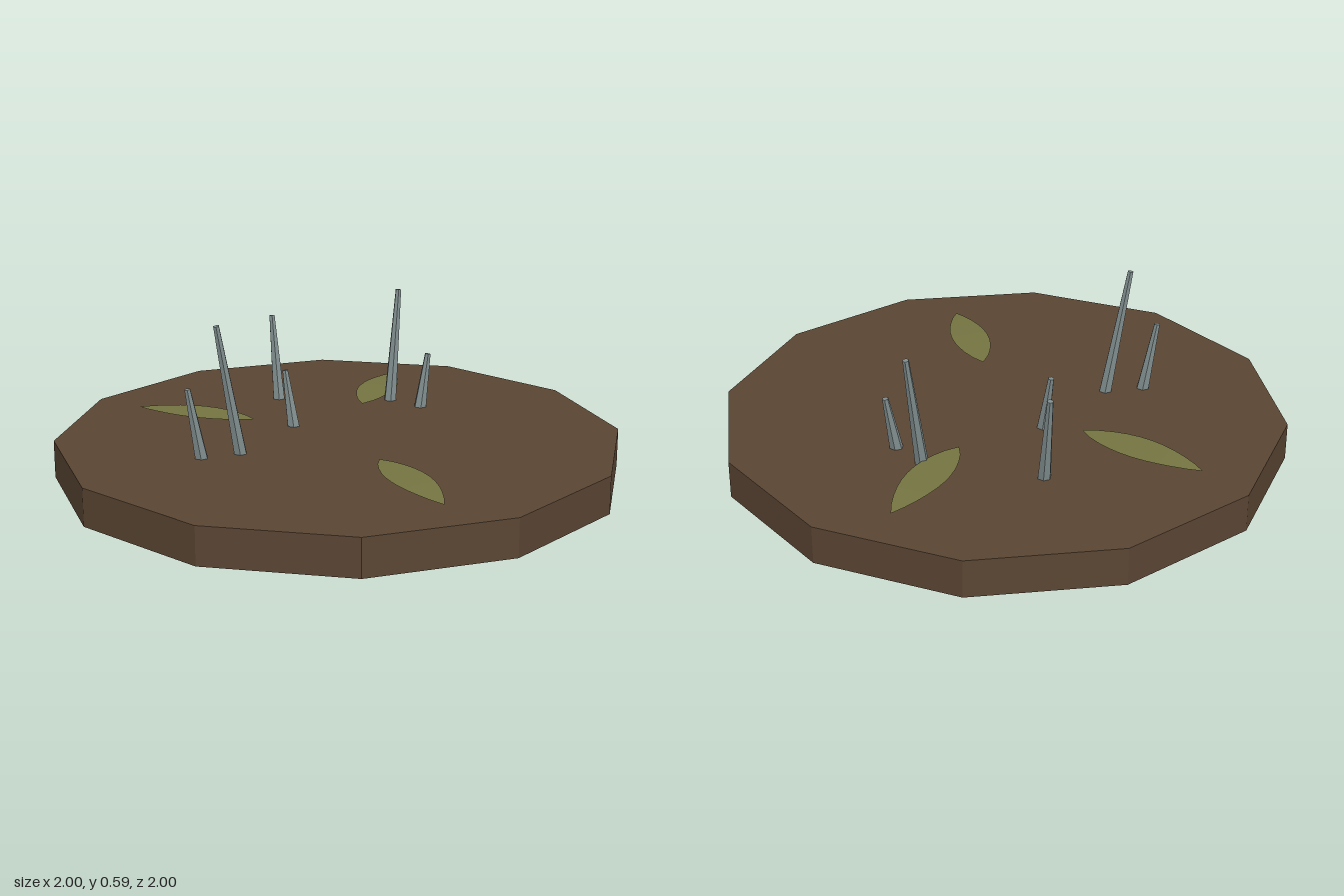
import * as THREE from 'three';

const soil = new THREE.MeshStandardMaterial({ color: 0x5a4533, flatShading: true });
soil.name = 'soilBrown';
const stalkGrey = new THREE.MeshStandardMaterial({ color: 0x7f8c8d, flatShading: true });
stalkGrey.name = 'stalkGrey';
const leafGreen = new THREE.MeshStandardMaterial({ color: 0x747442, side: THREE.DoubleSide });
leafGreen.name = 'leafGreen';

const TOP = 0.134;

// Tapered stalk leaning from its base to its tip
function makeStalk([bx, bz, tx, ty, tz]) {
  const base = new THREE.Vector3(bx, TOP - 0.004, bz);
  const tip = new THREE.Vector3(tx, ty, tz);
  const axis = tip.clone().sub(base);
  const mesh = new THREE.Mesh(new THREE.CylinderGeometry(0.011, 0.024, axis.length(), 6), stalkGrey);
  mesh.position.copy(base).add(tip).multiplyScalar(0.5);
  mesh.quaternion.setFromUnitVectors(new THREE.Vector3(0, 1, 0), axis.normalize());
  mesh.name = 'stalk';
  return mesh;
}

// Thin pointed leaf, drooping a little towards its outer tip
function makeLeaf([x0, z0, x1, z1]) {
  const dx = x1 - x0, dz = z1 - z0, len = Math.hypot(dx, dz);
  const geo = new THREE.PlaneGeometry(1, 1, 2, 10);
  geo.rotateX(-Math.PI / 2);
  const pos = geo.attributes.position;
  for (let i = 0; i < pos.count; i++) {
    const t = 0.5 - pos.getZ(i);
    const side = pos.getX(i) * 2;
    const half = 0.07 * Math.pow(Math.max(0, Math.sin(Math.PI * Math.pow(t, 0.92))), 0.85) * side;
    const y = 0.149 + 0.012 * t * (1 - t) - 0.009 * t ** 3;
    pos.setXYZ(i, x0 + dx * t - (dz / len) * half, y, z0 + dz * t + (dx / len) * half);
  }
  geo.computeVertexNormals();
  const mesh = new THREE.Mesh(geo, leafGreen);
  mesh.name = 'leaf';
  return mesh;
}

export function createModel() {
  const model = new THREE.Group();
  model.name = 'groundPatch';

  // Twelve-sided ground disc
  const ground = new THREE.Mesh(new THREE.CylinderGeometry(1, 1, TOP, 12), soil);
  ground.position.y = TOP / 2;
  ground.name = 'groundDisc';
  model.add(ground);

  // Stalks: base x, base z, tip x, tip y, tip z
  const stalks = new THREE.Group();
  stalks.name = 'stalks';
  [
    [-0.35, 0.18, -0.425, 0.592, 0.213],
    [-0.483, 0.22, -0.525, 0.382, 0.238],
    [-0.155, -0.122, -0.183, 0.335, -0.143],
    [-0.195, -0.467, -0.217, 0.445, -0.517],
    [0.222, -0.42, 0.256, 0.545, -0.483],
    [0.325, -0.327, 0.354, 0.33, -0.35],
  ].forEach((s) => stalks.add(makeStalk(s)));
  model.add(stalks);

  // Leaves: inner end x, z and outer tip x, z
  const leaves = new THREE.Group();
  leaves.name = 'leaves';
  [
    [0.11, -0.325, 0.265, -0.765],
    [-0.295, -0.158, -0.715, -0.372],
    [0.115, 0.32, 0.28, 0.752],
  ].forEach((l) => leaves.add(makeLeaf(l)));
  model.add(leaves);

  return model;
}
